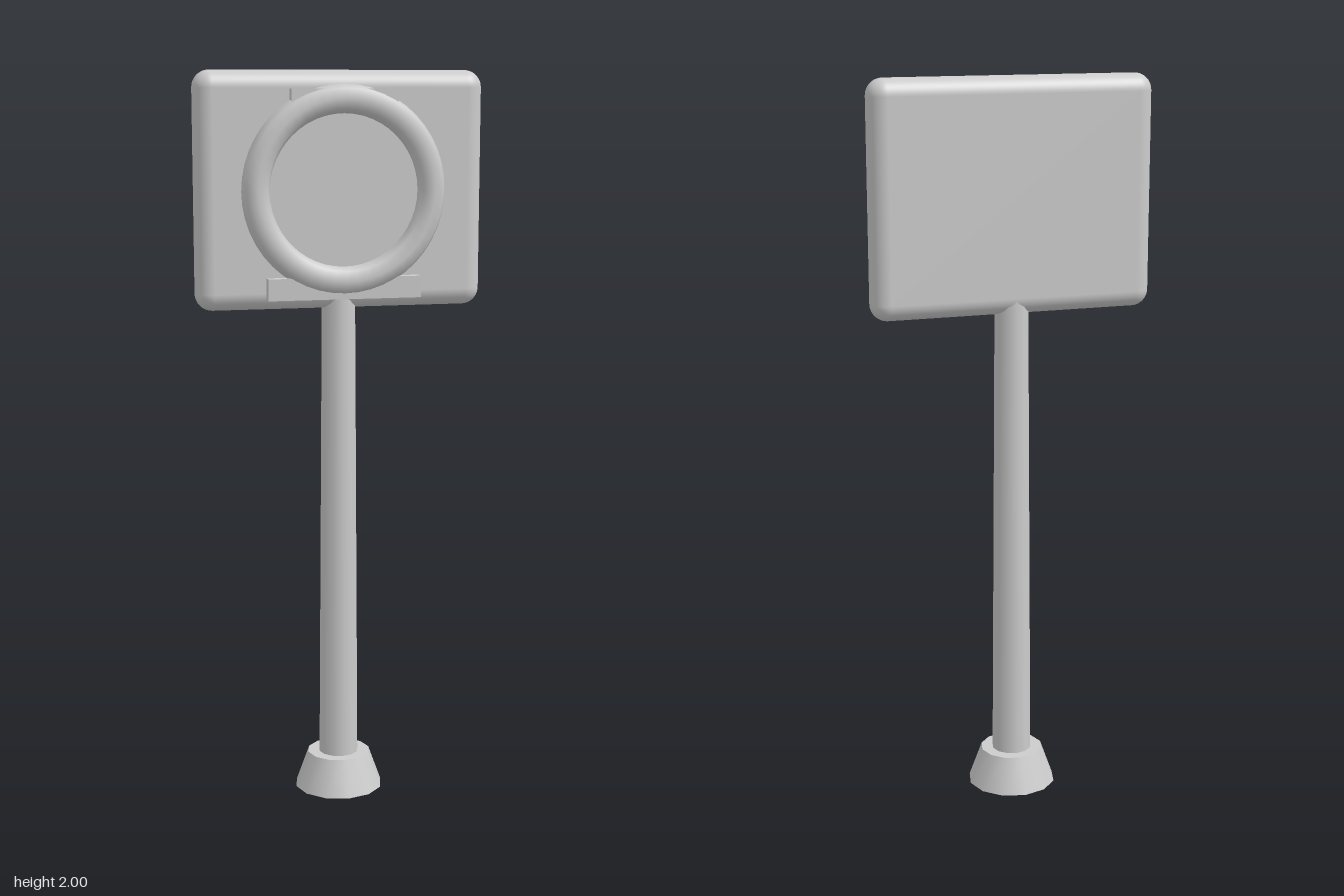
import * as THREE from 'three';
import { RoundedBoxGeometry } from 'three/addons/geometries/RoundedBoxGeometry.js';

export function createModel() {
  const model = new THREE.Group();
  model.name = 'signPost';
  const grey = new THREE.MeshStandardMaterial({ color: 0xcccccc });
  grey.name = 'light grey';

  const add = (name, geometry, x, y, z) => {
    const mesh = new THREE.Mesh(geometry, grey);
    mesh.name = name;
    mesh.position.set(x, y, z);
    model.add(mesh);
    return mesh;
  };

  // Flared foot and slightly tapered pole, ending inside the board
  add('base', new THREE.CylinderGeometry(0.088, 0.124, 0.1, 12), 0, 0.05, 0);
  add('pole', new THREE.CylinderGeometry(0.046, 0.056, 1.46, 12), 0, 0.75, 0);

  // Board with fully rounded edges
  add('board', new RoundedBoxGeometry(0.786, 0.63, 0.094, 6, 0.046), 0, 1.685, 0);

  // Ring on the front face
  add('ring', new THREE.TorusGeometry(0.239, 0.038, 8, 48), 0, 1.687, 0.066);

  // Bars above and below the ring
  add('topBar', new THREE.BoxGeometry(0.288, 0.034, 0.028), 0, 1.935, 0.066);
  add('bottomBar', new THREE.BoxGeometry(0.418, 0.058, 0.028), 0, 1.429, 0.066);

  return model;
}
